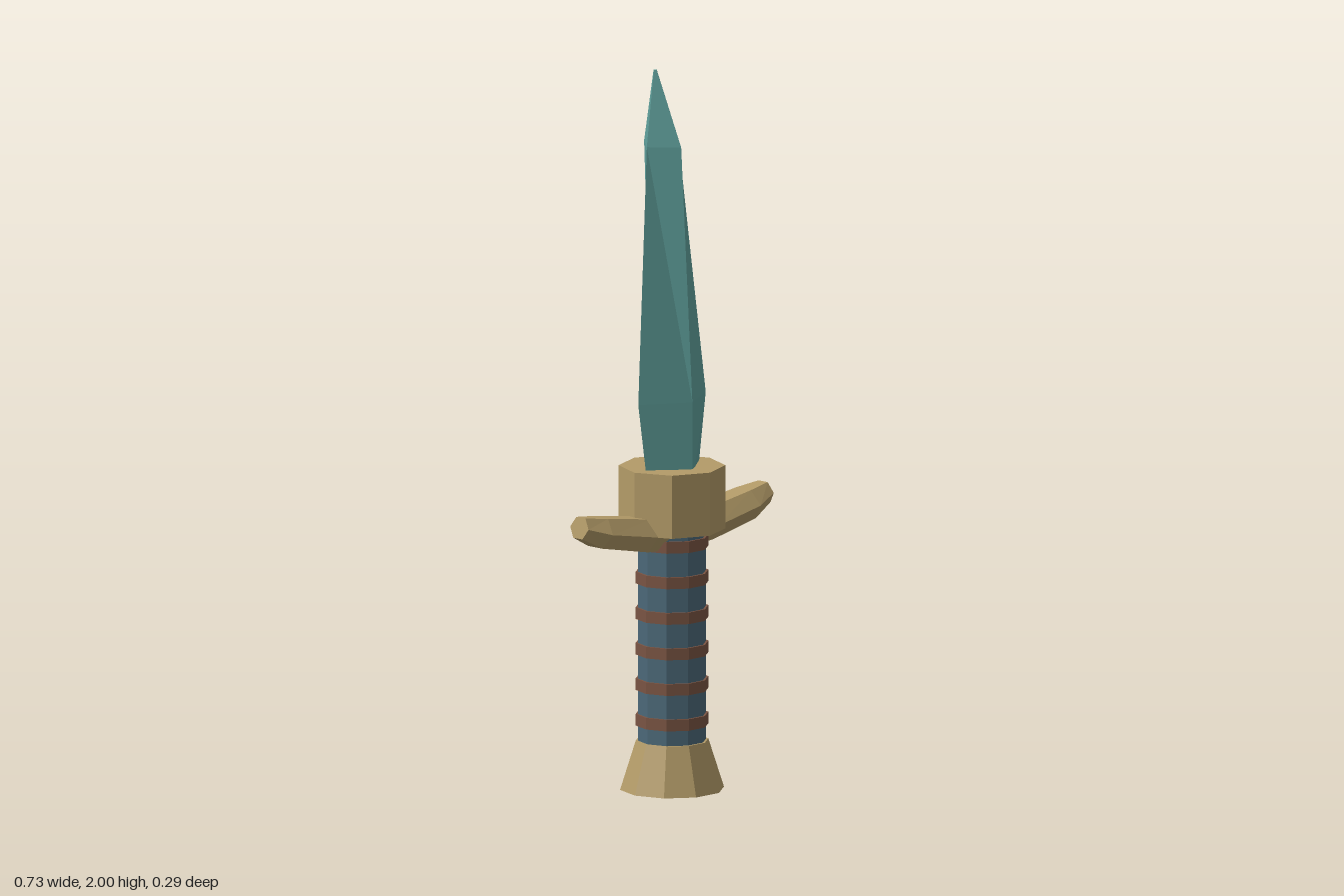
import * as THREE from 'three';

const material = (color) =>
  new THREE.MeshStandardMaterial({ color, flatShading: true });
const gold = material(0xb39b68);
const teal = material(0x5f9f9b);
const blue = material(0x4b6878);
const brown = material(0x7a5443);

// Skins a list of equal-sized rings, counter-clockwise seen from the last ring
function loft(rings) {
  const pos = [];
  const n = rings[0].length;
  const tri = (...corners) => corners.forEach((p) => pos.push(...p));
  for (let r = 0; r < rings.length - 1; r++) {
    for (let i = 0; i < n; i++) {
      const j = (i + 1) % n;
      const a = rings[r][i], b = rings[r][j], c = rings[r + 1][j], d = rings[r + 1][i];
      if (i % 2) { tri(a, b, c); tri(a, c, d); }
      else { tri(a, b, d); tri(b, c, d); }
    }
  }
  const first = rings[0], last = rings[rings.length - 1];
  for (let i = 1; i < n - 1; i++) {
    tri(first[0], first[i + 1], first[i]);
    tri(last[0], last[i], last[i + 1]);
  }
  const geometry = new THREE.BufferGeometry();
  geometry.setAttribute('position', new THREE.Float32BufferAttribute(pos, 3));
  geometry.computeVertexNormals();
  return geometry;
}

export function createModel() {
  const model = new THREE.Group();
  model.name = 'dagger';

  const add = (name, geometry, mat) => {
    const mesh = new THREE.Mesh(geometry, mat);
    mesh.name = name;
    model.add(mesh);
    return mesh;
  };
  // Faceted cylinder between two heights, with a corner on the x axis
  const prism = (name, rTop, rBottom, y0, y1, sides, mat) => {
    const geometry = new THREE.CylinderGeometry(rTop, rBottom, y1 - y0, sides);
    geometry.rotateY(Math.PI / 2);
    geometry.translate(0, (y0 + y1) / 2, 0);
    return add(name, geometry, mat);
  };

  // Handle
  prism('pommel', 0.1, 0.143, 0, 0.135, 10, gold);
  prism('grip', 0.094, 0.094, 0.13, 0.73, 10, blue);
  for (let i = 0; i < 6; i++) {
    const y = 0.193 + i * 0.0985;
    prism('gripBand', 0.1, 0.1, y - 0.016, y + 0.016, 10, brown);
  }
  prism('collar', 0.145, 0.145, 0.72, 0.895, 8, gold);

  // Crossguard arms: tilted hexagons [x, y, half height, half width, lean]
  const armRings = [
    [0.03, 0.715, 0.045, 0.068, 0],
    [0.12, 0.721, 0.045, 0.065, 0.005],
    [0.285, 0.75, 0.04, 0.057, 0.01],
    [0.357, 0.772, 0.028, 0.035, 0.006],
  ].map(([x, y, h, w, lean]) =>
    Array.from({ length: 6 }, (_, i) => {
      const a = (i * Math.PI) / 3;
      const s = Math.sin(a) / Math.sin(Math.PI / 3);
      return [x - s * lean, y + s * h, -Math.cos(a) * w];
    }));
  const armGeometry = loft(armRings);
  add('leftGuardArm', armGeometry, gold);
  add('rightGuardArm', armGeometry, gold).rotation.y = Math.PI;

  // Blade: diamond sections [y, left x, ridge x, right x, half thickness]
  const bladeRings = [
    [0.86, -0.096, 0, 0.1, 0.078],
    [1.08, -0.13, 0, 0.13, 0.078],
    [1.79, -0.097, -0.036, 0.025, 0.071],
    [2.0, -0.07, -0.065, -0.059, 0.006],
  ].map(([y, left, ridge, right, t]) =>
    [[right, y, 0], [ridge, y, -t], [left, y, 0], [ridge, y, t]]);
  add('blade', loft(bladeRings), teal);

  return model;
}
